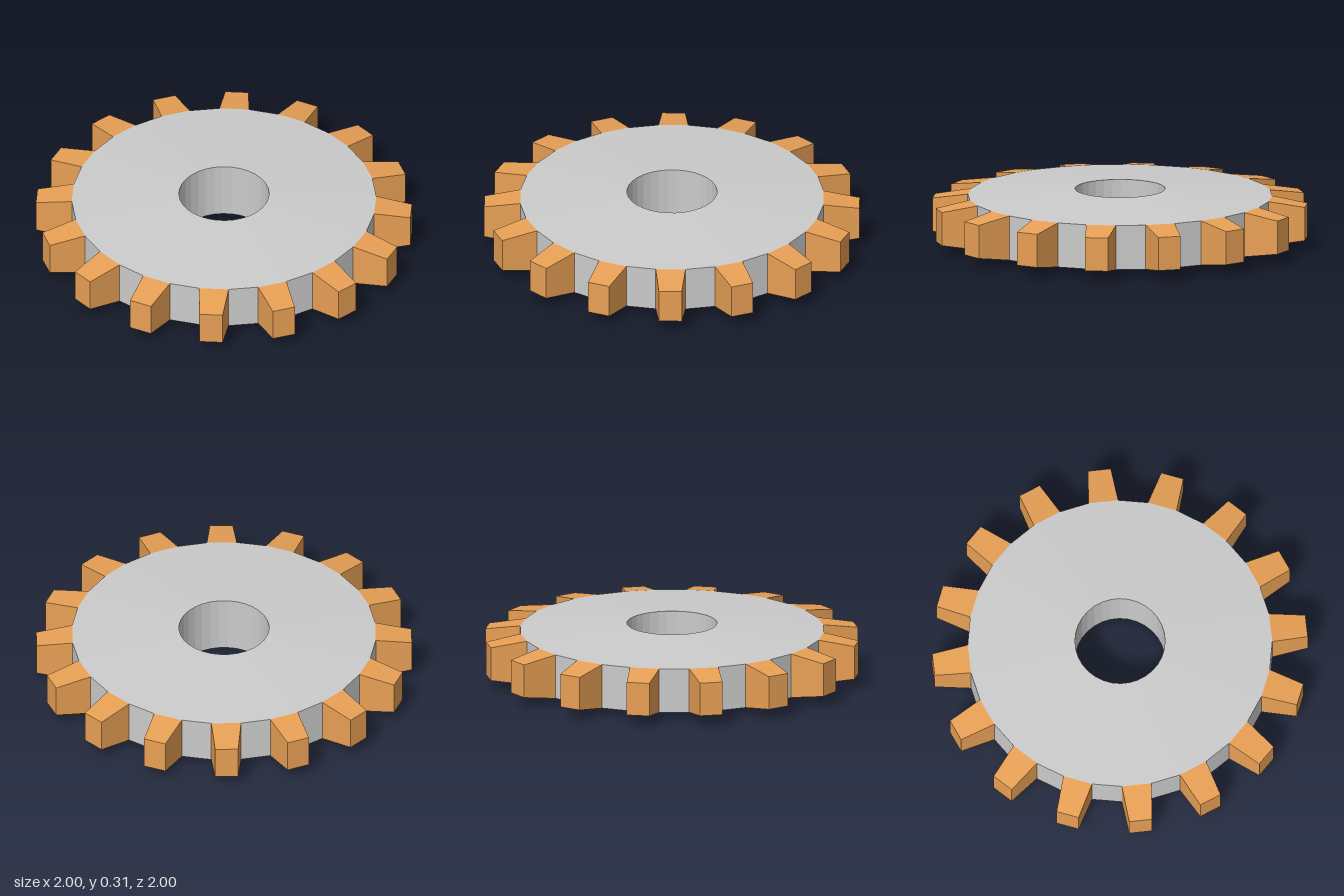
import * as THREE from 'three';

const TEETH = 16;
const STEP = (Math.PI * 2) / TEETH;      // one tooth plus one gap
const MID_Y = 0.155;
const HOLE = { r: 0.24, h: 0.155 };      // radius and half thickness
const RIM = { r: 0.81, h: 0.12 };
const TIP = { r: 1.0, h: 0.09 };

// Disc with a bore, thinning from the bore to the rim
function discGeometry() {
  const profile = [
    [HOLE.r, -HOLE.h], [RIM.r, -RIM.h], [RIM.r, RIM.h], [HOLE.r, HOLE.h], [HOLE.r, -HOLE.h],
  ].map(([r, y]) => new THREE.Vector2(r, MID_Y + y));
  return new THREE.LatheGeometry(profile, TEETH * 2);
}

// Tooth: a box bent onto the rim, narrower and thinner at the tip
function toothGeometry() {
  const geo = new THREE.BoxGeometry(2, 2, 2);
  const pos = geo.attributes.position;
  for (let i = 0; i < pos.count; i++) {
    const end = pos.getZ(i) > 0 ? TIP : RIM;
    const halfAngle = pos.getZ(i) > 0 ? STEP * 0.156 : STEP / 4;
    const a = STEP / 4 + pos.getX(i) * halfAngle;
    pos.setXYZ(i, Math.sin(a) * end.r, MID_Y + pos.getY(i) * end.h, Math.cos(a) * end.r);
  }
  // the root face sits against the rim, so leave it out
  geo.setIndex(Array.from(geo.index.array).slice(0, 30));
  geo.clearGroups();
  geo.computeVertexNormals();
  return geo;
}

export function createModel() {
  const gear = new THREE.Group();
  gear.name = 'gear';

  const grey = new THREE.MeshStandardMaterial({ color: 0xcccccc, flatShading: true });
  const orange = new THREE.MeshStandardMaterial({ color: 0xe8a055, flatShading: true });

  const disc = new THREE.Mesh(discGeometry(), grey);
  disc.name = 'disc';
  gear.add(disc);

  // Ring of teeth
  const teeth = new THREE.Group();
  teeth.name = 'teeth';
  const geo = toothGeometry();
  for (let i = 0; i < TEETH; i++) {
    const tooth = new THREE.Mesh(geo, orange);
    tooth.name = `tooth${i + 1}`;
    tooth.rotation.y = i * STEP;
    teeth.add(tooth);
  }
  gear.add(teeth);

  return gear;
}
